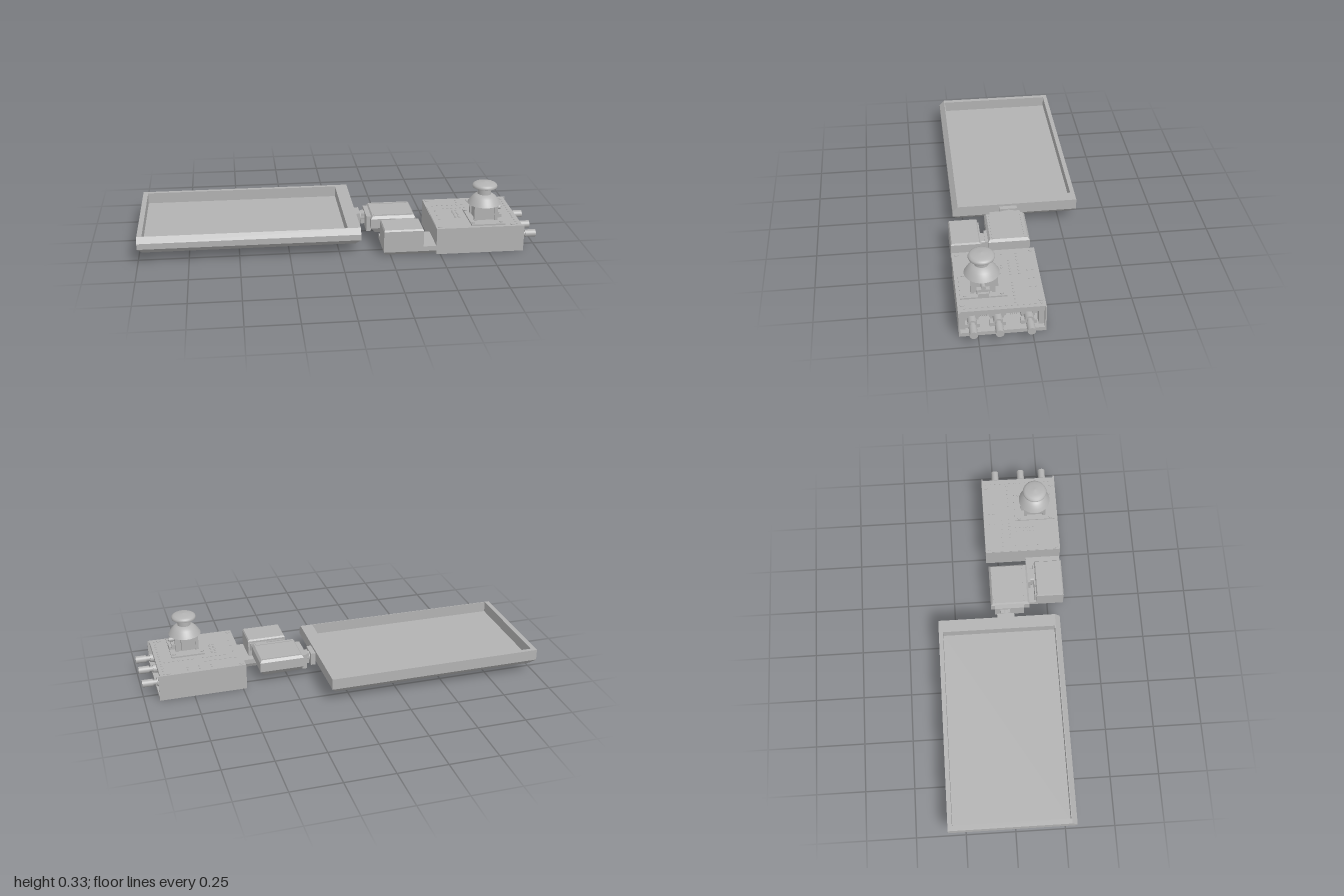
import * as THREE from 'three';
import { RoundedBoxGeometry } from 'three/addons/geometries/RoundedBoxGeometry.js';

export function createModel() {
  const model = new THREE.Group();
  const grey = new THREE.MeshStandardMaterial({ color: 0xb2b2b2 });
  grey.name = 'plain grey';

  const add = (name, geometry, parent = model) => {
    const mesh = new THREE.Mesh(geometry, grey);
    mesh.name = name;
    parent.add(mesh);
    return mesh;
  };
  const group = (name) => {
    const g = new THREE.Group();
    g.name = name;
    model.add(g);
    return g;
  };
  // Box given by its limits
  const box = (name, x0, x1, y0, y1, z0, z1, parent) =>
    add(name, new THREE.BoxGeometry(x1 - x0, y1 - y0, z1 - z0), parent)
      .position.set((x0 + x1) / 2, (y0 + y1) / 2, (z0 + z1) / 2);
  const rounded = (name, x0, x1, y0, y1, z0, z1, r, parent) =>
    add(name, new RoundedBoxGeometry(x1 - x0, y1 - y0, z1 - z0, 2, r), parent)
      .position.set((x0 + x1) / 2, (y0 + y1) / 2, (z0 + z1) / 2);
  // Cylinder along x, from x0 to x1
  const rod = (name, x0, x1, y, z, r, parent, sides = 24) => {
    const g = new THREE.CylinderGeometry(r, r, x1 - x0, sides).rotateZ(Math.PI / 2);
    add(name, g, parent).position.set((x0 + x1) / 2, y, z);
  };
  // Faceted solid through rectangles [x0, x1, z0, z1, y]
  const loft = (name, rects, parent) => {
    const loops = rects.map(([x0, x1, z0, z1, y]) =>
      [[x0, y, z1], [x1, y, z1], [x1, y, z0], [x0, y, z0]]);
    const p = [];
    const quad = (a, b, c, d) => p.push(...a, ...b, ...c, ...a, ...c, ...d);
    for (let k = 0; k < loops.length - 1; k++) {
      for (let i = 0; i < 4; i++) {
        const j = (i + 1) % 4;
        quad(loops[k][i], loops[k][j], loops[k + 1][j], loops[k + 1][i]);
      }
    }
    quad(...[...loops[0]].reverse());
    quad(...loops[loops.length - 1]);
    const g = new THREE.BufferGeometry();
    g.setAttribute('position', new THREE.Float32BufferAttribute(p, 3));
    g.computeVertexNormals();
    return add(name, g, parent);
  };

  // Tray with chamfered underside, sloped front edge and sunken floor
  loft('tray', [
    [-0.975, 0.08, -0.312, 0.278, 0.053],
    [-1, 0.105, -0.337, 0.305, 0.08],
    [-1, 0.105, -0.337, 0.305, 0.11],
    [-1, 0.105, -0.337, 0.278, 0.137],
    [-0.975, 0.04, -0.315, 0.274, 0.137],
    [-0.975, 0.04, -0.315, 0.274, 0.08],
  ]);

  // Swivel joint between tray and rear arm housing
  const joint = group('trayJoint');
  box('jointPlate', 0.105, 0.13, 0.06, 0.125, -0.025, 0.065, joint);
  rod('jointShaft', 0.12, 0.18, 0.093, 0.02, 0.026, joint);
  box('jointBracket', 0.135, 0.178, 0.062, 0.118, -0.005, 0.045, joint);
  box('jointFlange', 0.155, 0.18, 0.05, 0.13, -0.035, 0.12, joint);

  // Rear arm housing
  const rear = group('rearArmHousing');
  loft('rearShell', [
    [0.2, 0.38, -0.03, 0.13, 0.045],
    [0.175, 0.405, -0.055, 0.15, 0.075],
    [0.175, 0.405, -0.055, 0.15, 0.125],
    [0.185, 0.395, -0.045, 0.14, 0.138],
  ], rear);
  for (const z of [-0.035, 0.125]) {
    box('shellRib', 0.19, 0.39, 0.135, 0.141, z - 0.006, z + 0.006, rear);
  }
  box('armLink', 0.3, 0.395, 0.04, 0.125, 0.145, 0.165, rear);
  rounded('armHinge', 0.315, 0.385, 0.045, 0.12, 0.155, 0.2, 0.008, rear);

  // Front arm housing on its base
  const front = group('frontArmHousing');
  loft('armBase', [
    [0.225, 0.482, 0.16, 0.315, 0],
    [0.215, 0.482, 0.15, 0.335, 0.02],
    [0.215, 0.482, 0.15, 0.335, 0.045],
  ], front);
  loft('frontShell', [
    [0.215, 0.415, 0.19, 0.335, 0.04],
    [0.215, 0.415, 0.19, 0.335, 0.13],
    [0.22, 0.41, 0.195, 0.33, 0.138],
  ], front);
  box('shellSeam', 0.225, 0.405, 0.05, 0.12, 0.183, 0.191, front);

  // Control box, open on the right end
  const control = group('controlBox');
  box('floor', 0.48, 0.925, 0, 0.02, -0.065, 0.337, control);
  box('frontWall', 0.48, 0.925, 0.003, 0.137, 0.33, 0.337, control);
  box('backWall', 0.48, 0.925, 0.003, 0.137, -0.065, -0.058, control);
  box('endWall', 0.48, 0.488, 0.003, 0.135, -0.06, 0.332, control);
  box('circuitBoard', 0.482, 0.915, 0.118, 0.137, -0.059, 0.331, control);
  box('boardRail', 0.875, 0.912, 0.108, 0.118, -0.059, 0.331, control);
  for (const z of [-0.045, 0.318]) {
    box('endPost', 0.86, 0.9, 0.02, 0.108, z - 0.013, z + 0.013, control);
  }

  // Knobs in mounting frames along the open end
  for (const z of [0.274, 0.156, 0.013]) {
    const knob = group('sideKnob');
    box('knobBody', 0.8, 0.87, 0.03, 0.1, z - 0.032, z + 0.032, knob);
    for (const s of [-1, 1]) {
      for (const y of [0.036, 0.096]) {
        box('mountTab', 0.86, 0.9, y - 0.01, y + 0.01, z + s * 0.026 - 0.011, z + s * 0.026 + 0.011, knob);
      }
    }
    rod('knobCollar', 0.87, 0.925, 0.067, z, 0.022, knob);
    rod('knobShaft', 0.92, 0.955, 0.067, z, 0.014, knob);
    rod('knobCap', 0.945, 1, 0.067, z, 0.019, knob);
  }

  // Pin headers hanging beneath the board
  for (const [z0, n] of [[0.195, 6], [0.07, 4]]) {
    for (let i = 0; i < n; i++) {
      const z = z0 + i * 0.009;
      box('headerPin', 0.89, 0.896, 0.085, 0.112, z - 0.002, z + 0.002, control);
    }
  }

  // Solder points, drawn as thin discs on the board
  const disc = (name, x, z, r) =>
    add(name, new THREE.CylinderGeometry(r, r, 0.004, 12), control).position.set(x, 0.138, z);
  for (const x of [0.5, 0.87]) {
    for (const z of [-0.045, 0.315]) disc('boardScrew', x, z, 0.011);
  }
  const rows = [
    [0.515, 0.03, 7, 0.026, 0], [0.565, 0.072, 6, 0.022, 0], [0.73, 0.072, 7, 0.024, 0],
    [0.603, 0.11, 6, 0, 0.018], [0.622, 0.11, 6, 0, 0.018], [0.715, 0.31, 5, 0.016, 0],
    [0.893, -0.045, 14, 0, 0.027], [0.65, -0.035, 3, 0.06, 0],
    [0.65, -0.01, 3, 0.06, 0], [0.515, 0.1, 3, 0, 0.06],
  ];
  for (const [x, z, n, dx, dz] of rows) {
    for (let i = 0; i < n; i++) disc('solderPoint', x + i * dx, z + i * dz, 0.005);
  }

  // Joystick: mounting plate, gimbal cage, skirt, neck and cap
  const stick = group('joystick');
  const cx = 0.742, cz = 0.213;
  box('mountPlate', 0.66, 0.83, 0.136, 0.145, 0.105, 0.32, stick);
  box('gimbalCage', cx - 0.052, cx + 0.052, 0.145, 0.215, cz - 0.05, cz + 0.05, stick);
  for (const sx of [-1, 1]) {
    for (const sz of [-1, 1]) {
      const x = cx + sx * 0.052, z = cz + sz * 0.05;
      box('cagePost', x - 0.008, x + 0.008, 0.145, 0.222, z - 0.008, z + 0.008, stick);
      add('mountScrew', new THREE.CylinderGeometry(0.009, 0.009, 0.006, 12), stick)
        .position.set(cx + sx * 0.072, 0.147, cz + sz * 0.085);
    }
  }
  box('rightSensor', cx + 0.05, cx + 0.075, 0.15, 0.175, cz - 0.03, cz + 0.03, stick);
  rod('rightPivot', cx + 0.05, cx + 0.085, 0.192, cz, 0.011, stick, 16);
  box('backSensor', cx - 0.03, cx + 0.03, 0.155, 0.22, cz - 0.073, cz - 0.048, stick);
  box('pushSwitch', cx + 0.06, cx + 0.088, 0.145, 0.162, cz - 0.025, cz + 0.025, stick);

  const lathe = (name, points) => {
    const g = new THREE.LatheGeometry(points.map(([r, y]) => new THREE.Vector2(r, y)), 40);
    add(name, g, stick).position.set(cx, 0, cz);
  };
  lathe('skirt', [[0.083, 0.22], [0.073, 0.237], [0.06, 0.254], [0.048, 0.264], [0.034, 0.27]]);
  lathe('skirtUnderside', [[0, 0.22], [0.083, 0.22]]);
  lathe('neck', [[0.034, 0.268], [0.033, 0.307]]);
  lathe('capUnderside', [[0, 0.306], [0.061, 0.306]]);
  lathe('cap', [[0.061, 0.306], [0.063, 0.312], [0.06, 0.32], [0.05, 0.326], [0.03, 0.33], [0, 0.334]]);

  return model;
}
